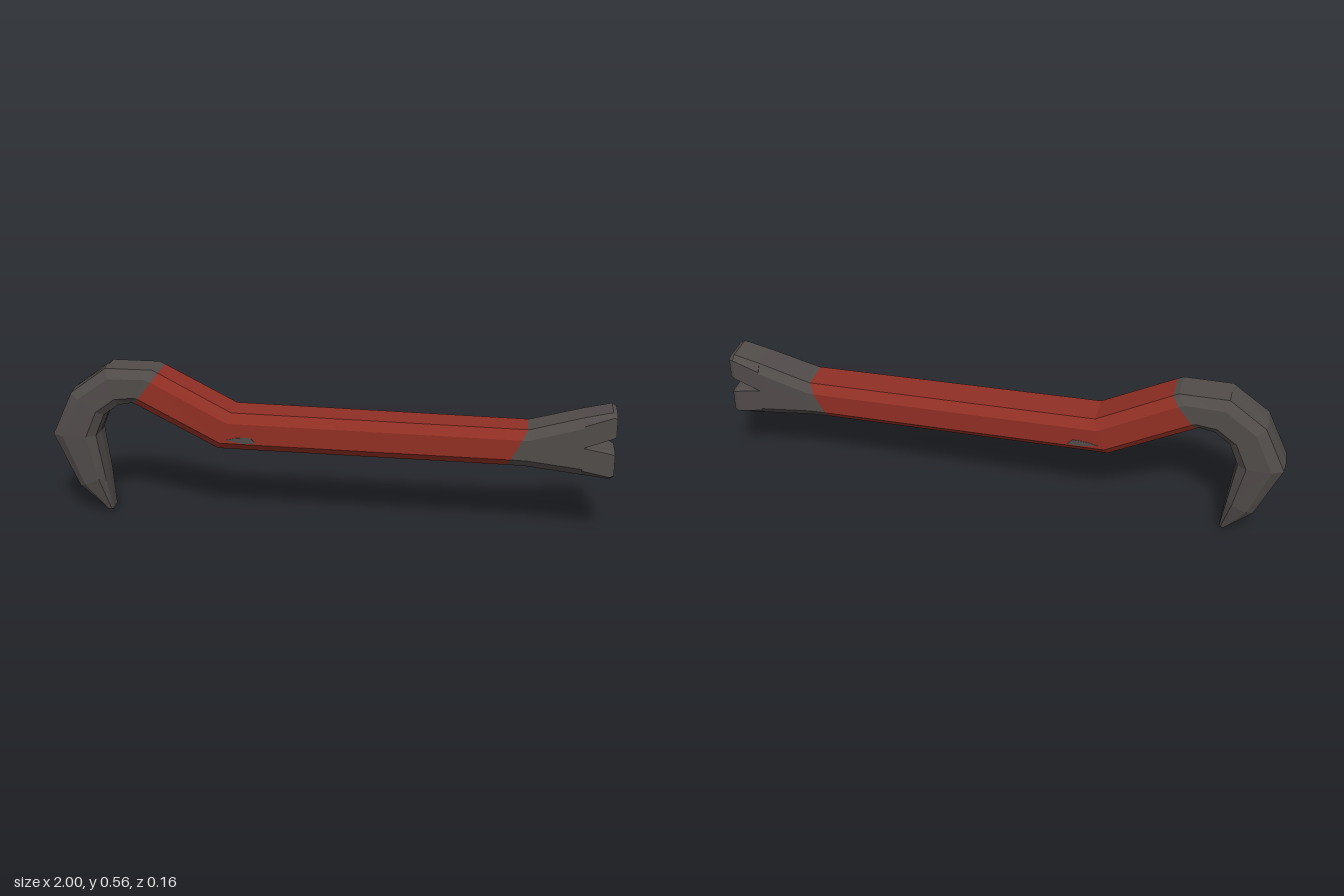
import * as THREE from 'three';

const steel = new THREE.MeshStandardMaterial({ color: 0x514c4a });
steel.name = 'dark steel';
const paint = new THREE.MeshStandardMaterial({ color: 0x912f24 });
paint.name = 'red paint';

// Section: outer point, inner point, half width, then options.
// co / ci: chamfer at the outer / inner edge; ridge: slight centre crease.
function sec(ox, oy, ix, iy, w, { co = 0.25, ci = 0.2, ridge = 0 } = {}) {
  const half = [[-ridge, 0], [0, co ? 0.72 : 1], [co, 1], [1 - ci, 1], [1, ci ? 0.72 : 1], [1 + ridge, 0]];
  const mirror = half.slice(1, 5).reverse().map(([f, z]) => [f, -z]);
  return [...half, ...mirror].map(([f, z]) =>
    new THREE.Vector3(ox + (ix - ox) * f, oy + (iy - oy) * f, z * w));
}

// Faceted skin through a row of sections, with fan caps to optional apexes
function loft(name, material, rings, startApex, endApex) {
  const pos = [];
  const tri = (...pts) => pts.forEach((p) => pos.push(p.x, p.y, p.z));
  const n = rings[0].length;
  for (let i = 0; i < rings.length - 1; i++) {
    for (let k = 0; k < n; k++) {
      const m = (k + 1) % n;
      const a = rings[i][k], b = rings[i][m], c = rings[i + 1][m], d = rings[i + 1][k];
      tri(a, b, c);
      tri(a, c, d);
    }
  }
  const cap = (ring, apex, flip) => {
    const mid = apex || ring.reduce((s, p) => s.add(p), new THREE.Vector3()).divideScalar(n);
    for (let k = 0; k < n; k++) {
      const m = (k + 1) % n;
      if (flip) tri(mid, ring[m], ring[k]);
      else tri(mid, ring[k], ring[m]);
    }
  };
  cap(rings[0], startApex, true);
  cap(rings[rings.length - 1], endApex, false);
  const geo = new THREE.BufferGeometry();
  geo.setAttribute('position', new THREE.Float32BufferAttribute(pos, 3));
  geo.computeVertexNormals();
  const mesh = new THREE.Mesh(geo, material);
  mesh.name = name;
  return mesh;
}

export function createModel() {
  const group = new THREE.Group();
  group.name = 'pryBar';
  const r = { ridge: 0.03 };

  // Curved hook, from its pointed tip up to the painted shaft
  const hookEnd = sec(-0.6, 0.555, -0.69, 0.438, 0.077);
  group.add(loft('hook', steel, [
    sec(-0.82, 0.015, -0.797, 0.015, 0.034),
    sec(-0.91, 0.11, -0.815, 0.15, 0.067, r),
    sec(-0.995, 0.31, -0.838, 0.31, 0.079, r),
    sec(-0.92, 0.47, -0.805, 0.39, 0.078, r),
    sec(-0.79, 0.565, -0.75, 0.43, 0.076),
    sec(-0.62, 0.565, -0.7, 0.44, 0.076),
    hookEnd,
  ], new THREE.Vector3(-0.807, 0, 0)));

  // Red shaft with its bend
  const shaftEnd = sec(0.7, 0.405, 0.63, 0.272, 0.077);
  group.add(loft('shaft', paint, [
    hookEnd,
    sec(-0.34, 0.42, -0.39, 0.285, 0.081),
    shaftEnd,
  ]));

  // Flared claw base
  group.add(loft('clawBase', steel, [
    shaftEnd,
    sec(0.71, 0.407, 0.7, 0.27, 0.077),
    sec(0.89, 0.457, 0.89, 0.247, 0.073, { co: 0.16, ci: 0.13 }),
  ]));

  // Two claw prongs around the notch
  const up = { co: 0.25, ci: 0 }, low = { co: 0, ci: 0.2 };
  group.add(loft('upperProng', steel, [
    sec(0.89, 0.457, 0.89, 0.352, 0.073, up),
    sec(0.985, 0.479, 0.985, 0.382, 0.071, { co: 0.15, ci: 0.06 }),
    sec(1, 0.472, 1, 0.388, 0.064, { co: 0.12, ci: 0.06 }),
  ]));
  group.add(loft('lowerProng', steel, [
    sec(0.89, 0.352, 0.89, 0.247, 0.073, low),
    sec(0.985, 0.34, 0.985, 0.236, 0.071, { co: 0.06, ci: 0.12 }),
    sec(1, 0.332, 1, 0.242, 0.064, { co: 0.06, ci: 0.12 }),
  ]));

  // Worn paint at the bend, on both sides
  const chip = new THREE.Shape([[-0.36, 0.325], [-0.29, 0.313], [-0.25, 0.318], [-0.27, 0.337], [-0.32, 0.334]]
    .map(([x, y]) => new THREE.Vector2(x, y)));
  for (const side of [1, -1]) {
    const wear = new THREE.Mesh(
      new THREE.ExtrudeGeometry(chip, { depth: 0.004, bevelEnabled: false }), steel);
    wear.position.z = side > 0 ? 0.078 : -0.082;
    wear.name = side > 0 ? 'frontWear' : 'backWear';
    group.add(wear);
  }
  return group;
}
